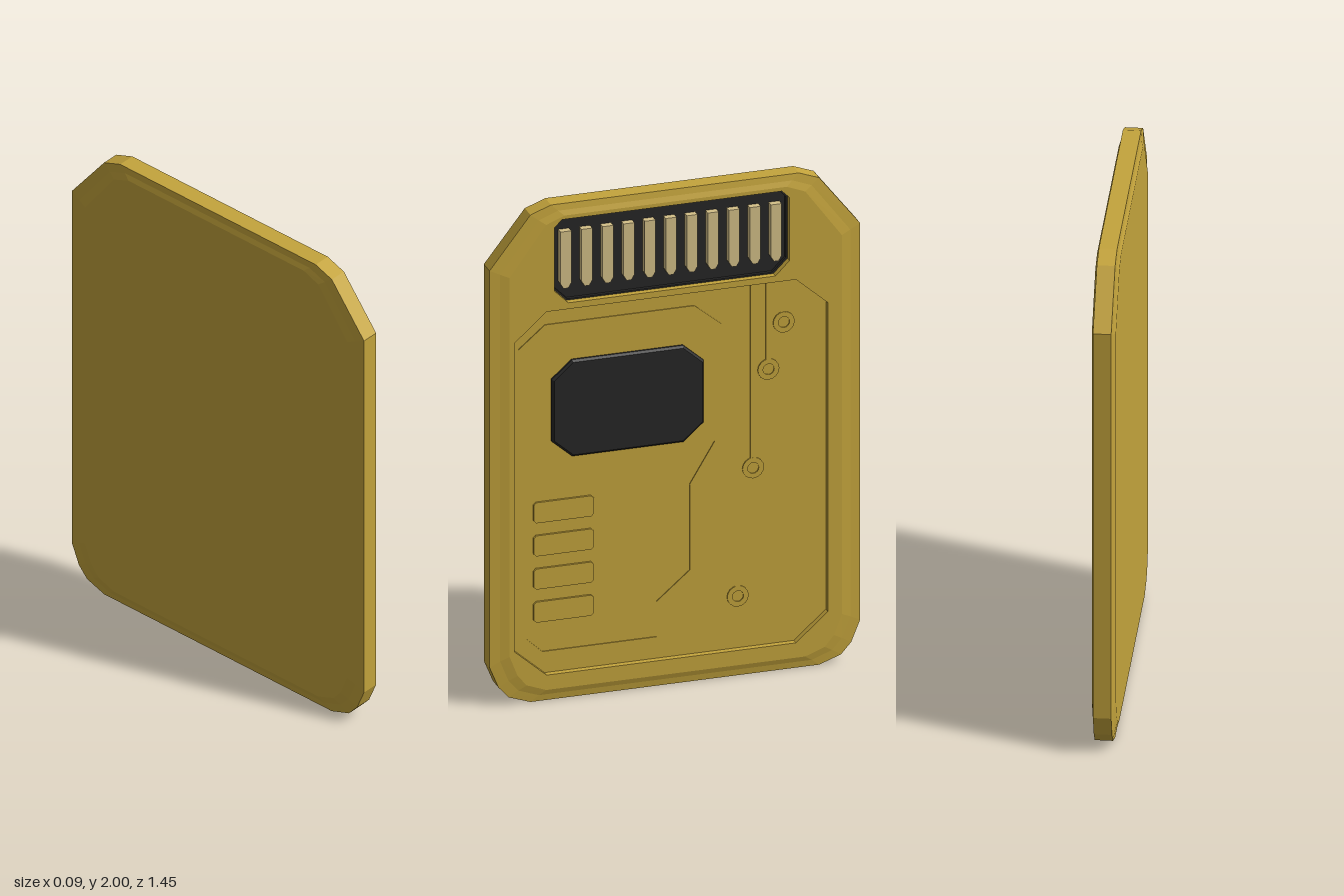
import * as THREE from 'three';

const gold = new THREE.MeshStandardMaterial({ color: 0xc4a43c });
gold.name = 'gold casing';
const black = new THREE.MeshStandardMaterial({ color: 0x262626 });
black.name = 'black plastic';
const cream = new THREE.MeshStandardMaterial({ color: 0xd4c088 });
cream.name = 'pale contact metal';

// Depths through the card
const FACE = 0.045, RIM = 0.034, PANEL = 0.02, SLOT = 0.006;

const toShape = (pts) => new THREE.Shape(pts.map(([x, y]) => new THREE.Vector2(x, y)));

// Counter-clockwise rectangle with chamfered corners
function chamfered(x0, x1, y0, y1, cx, cyBottom, cyTop = cyBottom, cxTop = cx) {
  return [[x0 + cx, y0], [x1 - cx, y0], [x1, y0 + cyBottom], [x1, y1 - cyTop],
    [x1 - cxTop, y1], [x0 + cxTop, y1], [x0, y1 - cyTop], [x0, y0 + cyBottom]];
}

function add(group, name, geometry, material) {
  const mesh = new THREE.Mesh(geometry, material);
  mesh.name = name;
  group.add(mesh);
  return mesh;
}

// Flat band of quads joining successive outlines, each at its own depth
function loft(rings) {
  const v = [];
  for (let k = 0; k + 1 < rings.length; k++) {
    const [a, za] = rings[k], [b, zb] = rings[k + 1];
    for (let i = 0; i < a.length; i++) {
      const j = (i + 1) % a.length;
      v.push(...a[i], za, ...a[j], za, ...b[j], zb, ...a[i], za, ...b[j], zb, ...b[i], zb);
    }
  }
  const g = new THREE.BufferGeometry();
  g.setAttribute('position', new THREE.Float32BufferAttribute(v, 3));
  g.computeVertexNormals();
  return g;
}

function plate(pts, z, holes = []) {
  const s = toShape(pts);
  s.holes = holes.map(toShape);
  return new THREE.ShapeGeometry(s).translate(0, 0, z);
}

// Raised block with an optional sloped edge
function block(group, name, pts, z0, z1, material, bevel = 0) {
  const g = new THREE.ExtrudeGeometry(toShape(pts), {
    depth: z1 - z0 - bevel, bevelEnabled: bevel > 0, bevelThickness: bevel,
    bevelSize: bevel, bevelOffset: -bevel, bevelSegments: 1,
  });
  return add(group, name, g.translate(0, 0, z0), material);
}

// Straight raised strip between two points
function strip(group, [ax, ay], [bx, by], width) {
  const len = Math.hypot(bx - ax, by - ay);
  const g = new THREE.BoxGeometry(len + width * 0.4, width, 0.005);
  g.rotateZ(Math.atan2(by - ay, bx - ax));
  add(group, 'circuitTrace', g.translate((ax + bx) / 2, (ay + by) / 2, PANEL + 0.0015), gold);
}

export function createModel() {
  const root = new THREE.Group();
  root.name = 'memoryCard';
  const card = new THREE.Group();
  card.name = 'card';
  card.rotation.y = Math.PI / 2; // detailed face towards +x
  root.add(card);

  // Card outline, mirrored
  const half = [[0.565, 0], [0.65, 0.03], [0.69, 0.075], [0.725, 0.16],
    [0.725, 1.765], [0.565, 1.97], [0.485, 2]];
  const outline = [...half, ...half.slice().reverse().map(([x, y]) => [-x, y])];
  const inset = (dx, dy) => outline.map(([x, y]) => [x * (1 - dx / 0.725), 1 + (y - 1) * (1 - dy)]);
  const mid = inset(0.04, 0.025), top = inset(0.075, 0.045);
  const panel = chamfered(-0.63, 0.595, 0.105, 1.575, 0.125, 0.11);
  const slot = chamfered(-0.475, 0.445, 1.6, 1.94, 0.055, 0.055, 0.03, 0.03);

  // Casing: bevelled sides, back, and front with two recesses
  add(card, 'casingSides', loft([[top, -FACE], [mid, -RIM - 0.004], [outline, -RIM],
    [outline, RIM], [mid, RIM + 0.004], [top, FACE]]), gold);
  const back = plate(top, 0).rotateY(Math.PI);
  add(card, 'casingBack', back.translate(0, 0, -FACE), gold);
  add(card, 'casingFront', plate(top, FACE, [panel, slot]), gold);
  add(card, 'panelWalls', loft([[panel, FACE], [panel, PANEL]]), gold);
  add(card, 'panelFloor', plate(panel, PANEL), gold);
  add(card, 'slotWalls', loft([[slot, FACE], [slot, SLOT]]), gold);
  add(card, 'slotFloor', plate(slot, SLOT), black);
  // Dark lining inside the slot
  const lining = chamfered(-0.469, 0.439, 1.606, 1.934, 0.053, 0.053, 0.029, 0.029);
  add(card, 'slotLining', loft([[slot, 0.02], [lining, 0.02], [lining, SLOT]]), black);

  // Row of contacts with pointed lower ends
  for (let i = 0; i < 11; i++) {
    const x = -0.426 + i * 0.0823;
    block(card, 'contact', [[x - 0.009, 1.655], [x + 0.009, 1.655], [x + 0.021, 1.675],
      [x + 0.021, 1.885], [x - 0.021, 1.885], [x - 0.021, 1.675]], SLOT, 0.034, cream);
  }

  // Chip and four small raised bars
  block(card, 'chip', chamfered(-0.48, 0.115, 0.97, 1.36, 0.08, 0.07), PANEL, 0.036, black, 0.008);
  for (let i = 0; i < 4; i++) {
    const y = 0.315 + i * 0.134;
    block(card, 'raisedBar', chamfered(-0.55, -0.315, y, y + 0.083, 0.01, 0.01), PANEL, 0.029, gold);
  }

  // Trace looping around the chip and bars
  const loop = [[-0.52, 0.18], [-0.055, 0.18], [-0.055, 0.33], [0.075, 0.44], [0.075, 0.79],
    [0.172, 0.95], [0.172, 1.42], [0.075, 1.5], [-0.5, 1.5], [-0.595, 1.42], [-0.595, 0.25]];
  loop.forEach((p, i) => strip(card, p, loop[(i + 1) % loop.length], 0.026));

  // Vertical traces ending in ring pads
  [[0.25, 0.315], [0.31, 0.826], [0.37, 1.217], [0.43, 1.4]].forEach(([x, y]) => {
    strip(card, [x, y + 0.036], [x, 1.57], 0.022);
    const ring = new THREE.Shape().absarc(x, y, 0.042, 0, Math.PI * 2);
    ring.holes.push(new THREE.Path().absarc(x, y, 0.022, 0, Math.PI * 2, true));
    const g = new THREE.ExtrudeGeometry(ring, { depth: 0.005, bevelEnabled: false, curveSegments: 8 });
    add(card, 'ringPad', g.translate(0, 0, PANEL), gold);
  });

  return root;
}
